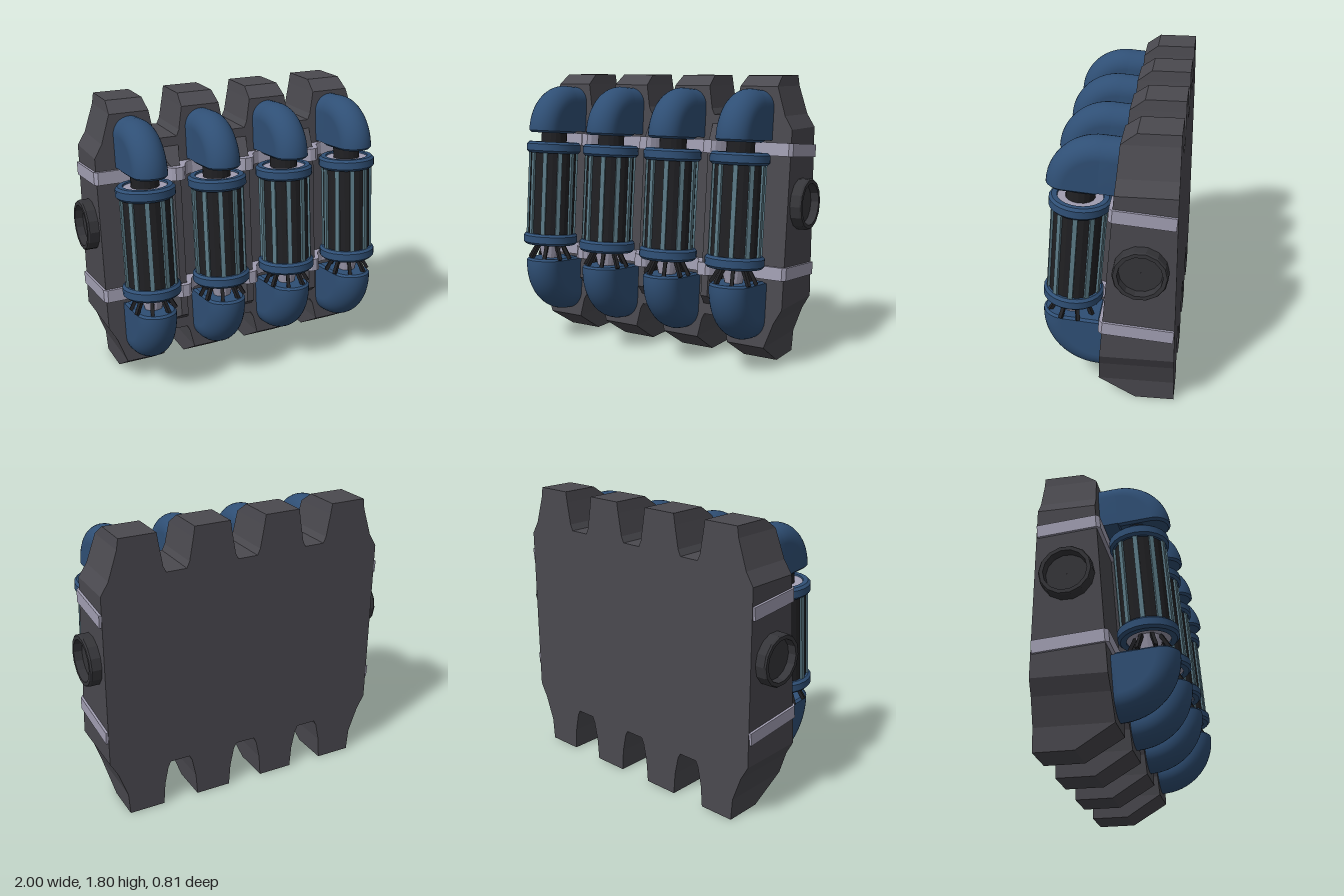
import * as THREE from 'three';
import { toCreasedNormals } from 'three/addons/utils/BufferGeometryUtils.js';

const mat = (color, flatShading = false) => new THREE.MeshStandardMaterial({ color, flatShading });
const CASE = mat(0x4a494f, true), BLUE = mat(0x2f4f75), BLACK = mat(0x202023, true);
const STEEL = mat(0xa19eb2, true), STRIP = mat(0x5b7a86, true), PORT = mat(0x353539, true);

const TILT = -0.086;                                   // lean of the front face
const TOWERS = [-0.6975, -0.2325, 0.2325, 0.6975];
const VALLEYS = [-0.465, 0, 0.465];
const frontZ = (y) => 0.065 - (y - 0.14) * 0.085;

function add(parent, name, geo, material, x = 0, y = 0, z = 0) {
  const m = new THREE.Mesh(geo, material);
  m.name = name;
  m.position.set(x, y, z);
  parent.add(m);
  return m;
}

const lathe = (pts, sides) => toCreasedNormals(
  new THREE.LatheGeometry(pts.map(([r, y]) => new THREE.Vector2(r, y)), sides), 0.6);

const shapeOf = (pts) => new THREE.Shape(pts.map(([x, y]) => new THREE.Vector2(x, y)));

// Tapered block: each end is [width, zBack, zFront]
function prism(bottom, top, y0, y1) {
  const g = new THREE.BoxGeometry(1, 1, 1).toNonIndexed(), p = g.attributes.position;
  for (let i = 0; i < p.count; i++) {
    const [w, zb, zf] = p.getY(i) > 0 ? top : bottom;
    p.setXYZ(i, p.getX(i) * w, p.getY(i) > 0 ? y1 : y0, p.getZ(i) > 0 ? zf : zb);
  }
  g.computeVertexNormals();
  return g;
}

// Casing: scalloped outline with a leaning front, plus chamfered tower ends
function buildCasing(group) {
  const top = [[-0.93, 1.48], [-0.88, 1.56]], bottom = [[-0.93, 0.39], [-0.88, 0.3]];
  TOWERS.forEach((t, i) => {
    const last = i === 3, first = i === 0;
    if (!first) {
      top.push([t - 0.168, 1.557], [t - 0.15, 1.595]);
      bottom.push([t - 0.168, 0.295], [t - 0.15, 0.26]);
    }
    top.push([t - 0.125, 1.735], [t + 0.125, 1.735]);
    bottom.push([t - 0.125, 0.14], [t + 0.125, 0.14]);
    if (!last) {
      top.push([t + 0.15, 1.595], [t + 0.168, 1.557]);
      bottom.push([t + 0.15, 0.26], [t + 0.168, 0.295]);
    }
  });
  top.push([0.88, 1.56], [0.93, 1.48]);
  bottom.push([0.88, 0.3], [0.93, 0.39]);
  const geo = new THREE.ExtrudeGeometry(shapeOf([...bottom, ...top.reverse()]), { depth: 1, bevelEnabled: false });
  const p = geo.attributes.position;
  for (let i = 0; i < p.count; i++) p.setZ(i, p.getZ(i) > 0.5 ? frontZ(p.getY(i)) : -0.4);
  geo.computeVertexNormals();
  add(group, 'casing', geo, CASE);

  const crown = prism([0.25, -0.4, frontZ(1.735)], [0.23, -0.4, -0.16], 1.735, 1.8);
  const foot = prism([0.23, -0.4, -0.16], [0.25, -0.4, 0.065], 0, 0.14);
  for (const t of TOWERS) {
    add(group, 'towerCrown', crown, CASE, t);
    add(group, 'towerFoot', foot, CASE, t);
  }
  // Ridges standing between the columns
  const ridge = prism([0.16, -0.585, 0.585], [0.045, -0.45, 0.5], -0.02, 0.14).rotateX(Math.PI / 2);
  for (const v of VALLEYS) add(group, 'ridge', ridge, CASE, v, 0.935, frontZ(0.935)).rotation.x = TILT;
}

// Strap: plan outline that rises over each ridge and wraps the sides
function buildStrap(group, y) {
  const back = -0.4 - frontZ(y) + 0.004;
  const pts = [[-0.945, back], [-0.945, 0], [-0.925, 0.022]];
  for (const v of VALLEYS) {
    for (const [dx, z] of [[-0.15, 0.022], [-0.115, 0.035], [-0.085, 0.07], [-0.06, 0.13], [-0.042, 0.162], [-0.02, 0.177]])
      pts.push([v + dx, z]);
    for (const [dx, z] of [[0.02, 0.177], [0.042, 0.162], [0.06, 0.13], [0.085, 0.07], [0.115, 0.035], [0.15, 0.022]])
      pts.push([v + dx, z]);
  }
  pts.push([0.925, 0.022], [0.945, 0], [0.945, back], [0.92, back], [0.92, -0.02], [-0.92, -0.02], [-0.92, back]);
  const geo = new THREE.ExtrudeGeometry(shapeOf(pts), { depth: 0.08, bevelEnabled: false });
  geo.rotateX(Math.PI / 2).translate(0, 0.04, 0);
  add(group, 'strap', geo, STEEL, 0, y, frontZ(y)).rotation.x = TILT;
}

// Elbow: round-nosed section turned a quarter about its inner corner
function buildElbow(name, w, r, tail) {
  const g = new THREE.Group();
  g.name = name;
  const prof = [new THREE.Vector2(0.001, -w)];
  for (let i = 0; i <= 16; i++) {
    const a = -Math.PI / 2 + (i / 16) * Math.PI;
    prof.push(new THREE.Vector2(r - w + w * Math.cos(a), w * Math.sin(a)));
  }
  prof.push(new THREE.Vector2(0.001, w));
  const bend = new THREE.LatheGeometry(prof, 14, 0, Math.PI / 2).rotateZ(Math.PI / 2);
  add(g, 'elbowBend', bend, BLUE);
  const section = new THREE.Shape(prof.map((p) => new THREE.Vector2(-p.y, p.x)));
  const stub = new THREE.ExtrudeGeometry(section, { depth: tail, bevelEnabled: false }).translate(0, 0, -tail);
  add(g, 'elbowStub', toCreasedNormals(stub, 0.6), BLUE);
  const lip = new THREE.ExtrudeGeometry(section, {
    depth: 0.002, bevelThickness: 0.013, bevelSize: 0.014, bevelOffset: -0.014, bevelSegments: 1,
  }).rotateX(Math.PI / 2);
  add(g, 'elbowLip', toCreasedNormals(lip, 0.6), BLUE);
  return g;
}

// Column: ribbed core between two collars, fed by an elbow at each end
function buildColumn(x) {
  const g = new THREE.Group();
  g.name = 'column';
  g.position.set(x, 1, 0.2);
  g.rotation.x = TILT;
  add(g, 'core', new THREE.CylinderGeometry(0.152, 0.152, 0.58, 20), BLACK, 0, 0.01);
  const strip = new THREE.BoxGeometry(0.028, 0.56, 0.022).translate(0, 0.01, 0.152);
  for (let i = 0; i < 10; i++) add(g, 'strip', strip, STRIP).rotation.y = (i + 0.5) * Math.PI / 5;

  const collar = lathe([[0.13, -0.037], [0.165, -0.037], [0.18, -0.022], [0.18, 0.022],
    [0.165, 0.037], [0.135, 0.037], [0.13, 0.02], [0.13, -0.037]], 24);
  add(g, 'upperCollar', collar, BLUE, 0, 0.318);
  add(g, 'lowerCollar', collar, BLUE, 0, -0.296);
  add(g, 'upperPlate', new THREE.CylinderGeometry(0.133, 0.133, 0.04, 24), STEEL, 0, 0.325);
  add(g, 'lowerPlate', new THREE.CylinderGeometry(0.133, 0.133, 0.04, 24), STEEL, 0, -0.302);
  add(g, 'upperNeck', new THREE.CylinderGeometry(0.085, 0.085, 0.1, 16), BLACK, 0, 0.38);
  add(g, 'lowerNeck', new THREE.CylinderGeometry(0.085, 0.05, 0.13, 16), STEEL, 0, -0.375);

  // Claws gripping the lower neck
  const claw = new THREE.BoxGeometry(0.022, 0.14, 0.022).rotateX(-0.5).translate(0, -0.37, 0.105);
  claw.scale(1, 1, 1);
  for (let i = 0; i < 8; i++) add(g, 'claw', claw, BLACK).rotation.y = (i + 0.5) * Math.PI / 4;

  const upper = buildElbow('upperElbow', 0.107, 0.305, 0.12);
  upper.position.set(0, 0.43, -0.103);
  const lower = buildElbow('lowerElbow', 0.124, 0.36, 0.04);
  lower.position.set(0, -0.44, -0.187);
  lower.rotation.z = Math.PI;
  g.add(upper, lower);
  return g;
}

export function createModel() {
  const model = new THREE.Group();
  model.name = 'powerPack';
  buildCasing(model);
  for (const y of [1.36, 0.61]) buildStrap(model, y);
  for (const x of TOWERS) model.add(buildColumn(x));

  // Recessed round ports on both sides
  const port = lathe([[0.16, -0.02], [0.16, 0.06], [0.153, 0.07], [0.13, 0.07], [0.126, 0.02], [0.001, 0.02]], 14);
  for (const s of [-1, 1]) add(model, 'sidePort', port, PORT, s * 0.93, 1.017, -0.2).rotation.z = -s * Math.PI / 2;
  return model;
}
